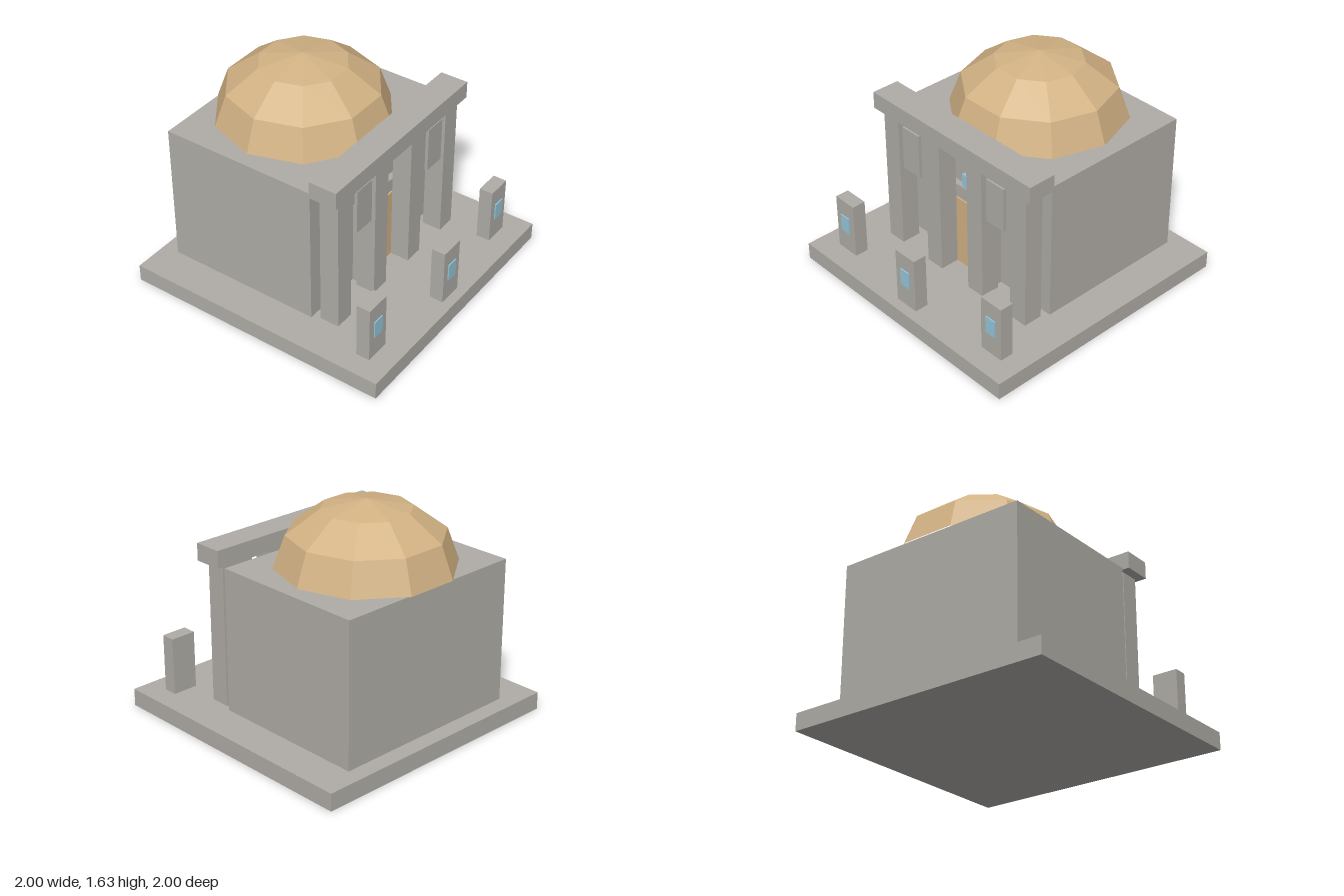
import * as THREE from 'three';

const material = (name, color) => {
  const m = new THREE.MeshStandardMaterial({ color });
  m.name = name;
  return m;
};

export function createModel() {
  const model = new THREE.Group();
  model.name = 'domedTemple';
  const stone = material('stone', 0xafaca6);
  const gold = material('gold', 0xd2b284);
  const glass = material('blueGlass', 0x94c6d8);

  // Box given by its lower and upper limits on each axis
  const box = (name, mat, [x0, x1], [y0, y1], [z0, z1]) => {
    const mesh = new THREE.Mesh(new THREE.BoxGeometry(x1 - x0, y1 - y0, z1 - z0), mat);
    mesh.position.set((x0 + x1) / 2, (y0 + y1) / 2, (z0 + z1) / 2);
    mesh.name = name;
    model.add(mesh);
  };
  const around = (x, half) => [x - half, x + half];
  const floor = 0.127, roof = 1.17;

  // Plinth and main hall
  box('plinth', stone, [-1, 1], [0, floor], [-1, 1]);
  box('hall', stone, [-0.73, 0.73], [floor, roof], [-0.878, 0.291]);

  // Faceted dome
  const domeGeometry = new THREE.SphereGeometry(0.625, 10, 3, 0, Math.PI * 2, 0, Math.PI / 2)
    .scale(1, 0.736, 1).toNonIndexed();
  domeGeometry.computeVertexNormals();
  const dome = new THREE.Mesh(domeGeometry, gold);
  dome.position.set(0, roof - 0.002, -0.294);
  dome.name = 'dome';
  model.add(dome);

  // Portico: four square columns under a lintel
  for (const x of [-0.627, -0.209, 0.209, 0.627]) {
    box('column', stone, around(x, 0.0725), [floor, roof], [0.346, 0.491]);
  }
  box('lintel', stone, [-0.768, 0.768], [roof, 1.295], [0.313, 0.522]);

  // Doorway and the window above it
  box('doorFrame', stone, [-0.25, 0.25], [floor, 0.77], [0.291, 0.336]);
  box('door', gold, [-0.18, 0.18], [floor, 0.67], [0.336, 0.347]);
  box('doorWindow', glass, around(0, 0.062), [0.797, 0.9], [0.331, 0.355]);

  // Wall panels hung between the outer columns
  for (const side of [-1, 1]) {
    box('hangingPanel', stone, around(side * 0.418, 0.083), [0.798, 1.13], [0.475, 0.498]);
  }

  // Forecourt pillars with small screens
  for (const [x, z] of [[-0.75, 0.84], [0, 0.925], [0.75, 0.84]]) {
    box('pillar', stone, around(x, 0.094), [floor, 0.545], [z - 0.102, z]);
    box('pillarScreen', glass, around(x, 0.044), [0.29, 0.42], [z, z + 0.009]);
  }
  return model;
}
